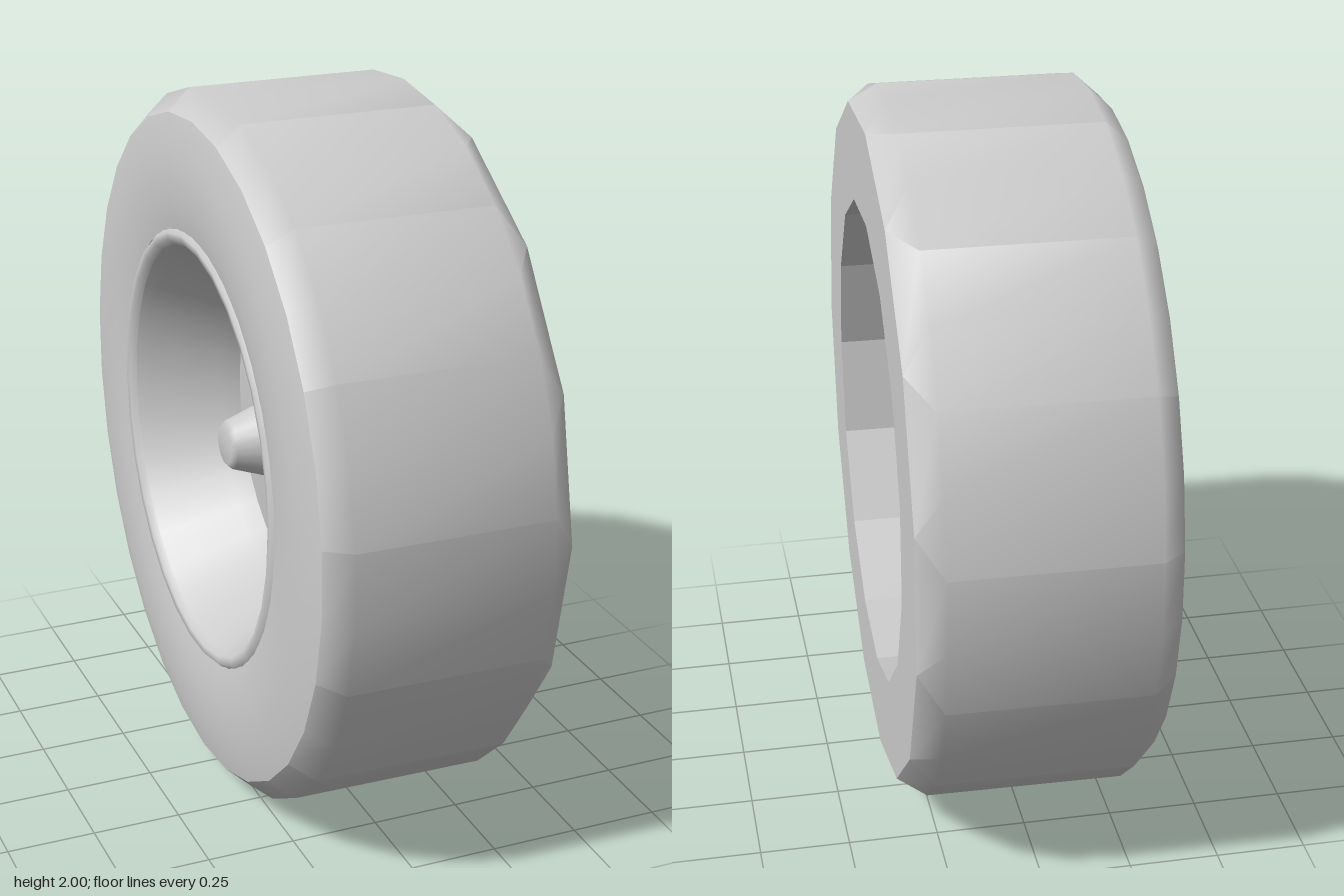
import * as THREE from 'three';
import { mergeGeometries } from 'three/addons/utils/BufferGeometryUtils.js';

const grey = new THREE.MeshStandardMaterial({ color: 0xcccccc });
grey.name = 'grey';
grey.side = THREE.DoubleSide;
const rad = THREE.MathUtils.degToRad;

function part(group, name, geometry, x = 0) {
  const mesh = new THREE.Mesh(geometry, grey);
  mesh.name = name;
  mesh.position.x = x;
  group.add(mesh);
  return mesh;
}

// Lathe about the x axis from [radius, x] points
function latheX(points, segments, startDeg = 0) {
  const g = new THREE.LatheGeometry(points.map(([r, x]) => new THREE.Vector2(r, x)), segments, rad(startDeg));
  return g.rotateZ(-Math.PI / 2);
}

// One 24 degree tread panel: two facets, closing to the coarser 15-sided shoulder
function treadPanel(k) {
  const rows = [[-0.33, 0.94], [-0.265, 1], [0.28, 1], [0.35, 0.95]];
  const n = rows.length, position = [], index = [];
  for (let j = 0; j < 3; j++) {
    const fine = 6 + 24 * k + 12 * j;
    rows.forEach(([x, r], i) => {
      const a = rad(i === n - 1 ? Math.round(fine / 24) * 24 : fine);
      position.push(x, r * Math.sin(a), r * Math.cos(a));
    });
  }
  for (let j = 0; j < 2; j++) {
    for (let i = 0; i < n - 1; i++) {
      const a = j * n + i, b = a + n;
      index.push(a, a + 1, b + 1, a, b + 1, b);
    }
  }
  const g = new THREE.BufferGeometry();
  g.setAttribute('position', new THREE.Float32BufferAttribute(position, 3));
  g.setIndex(index);
  g.computeVertexNormals();
  return g;
}

// Brake caliper: an arc block in the zy plane, extruded along x
function caliperGeometry() {
  const shape = new THREE.Shape();
  const point = (deg, r) => [-r * Math.cos(rad(deg)), r * Math.sin(rad(deg))];
  const steps = 6, from = -75, to = -146;
  const angle = (i) => from + (to - from) * i / steps;
  shape.moveTo(...point(from, 0.38));
  for (let i = 1; i <= steps; i++) shape.lineTo(...point(angle(i), 0.375));
  shape.lineTo(...point(to, 0.54));
  for (let i = steps - 1; i > 0; i--) shape.lineTo(...point(angle(i), 0.575));
  shape.lineTo(...point(from, 0.565));
  return new THREE.ExtrudeGeometry(shape, { depth: 0.075, bevelEnabled: false }).rotateY(Math.PI / 2);
}

export function createModel() {
  const model = new THREE.Group();
  model.name = 'wheel';
  const wheel = new THREE.Group();
  wheel.name = 'wheelAssembly';
  wheel.position.y = 1;
  wheel.rotation.y = -0.017;
  model.add(wheel);

  // Tyre
  part(wheel, 'tread', mergeGeometries(Array.from({ length: 15 }, (_, k) => treadPanel(k))));
  part(wheel, 'outerSidewall', latheX(
    [[0.62, -0.335], [0.7, -0.35], [0.83, -0.352], [0.94, -0.33]], 30, -6));
  part(wheel, 'innerSidewall', new THREE.RingGeometry(0.68, 0.95, 15, 1, Math.PI).rotateY(Math.PI / 2), 0.35);
  const wall = latheX([[0.68, 0.35], [0.68, -0.24]], 15).toNonIndexed();
  wall.computeVertexNormals();
  part(wheel, 'innerWall', wall);

  // Rim
  part(wheel, 'rimFlange', latheX([[0.68, -0.24], [0.64, -0.2], [0.625, -0.24], [0.6, -0.3]].reverse(), 30));
  part(wheel, 'rimLip', latheX(
    [[0.575, -0.325], [0.59, -0.343], [0.61, -0.345], [0.625, -0.33]], 30));
  part(wheel, 'rimBarrel', latheX(
    [[0.44, -0.045], [0.46, -0.1], [0.52, -0.22], [0.555, -0.29], [0.575, -0.325]], 30));
  part(wheel, 'wheelDisc', latheX([[0, -0.07], [0.17, -0.07], [0.3, -0.055], [0.45, -0.045]], 30));
  part(wheel, 'hubCone', latheX(
    [[0, -0.25], [0.055, -0.25], [0.07, -0.235], [0.12, -0.09], [0.14, -0.06]], 20));
  part(wheel, 'valve', new THREE.CapsuleGeometry(0.018, 0.03, 4, 10).rotateZ(Math.PI / 2))
    .position.set(-0.12, 0.02, 0.455);

  // Brake: square back plate with a thin round rim, a raised centre and a caliper
  part(wheel, 'backPlate', new THREE.BoxGeometry(0.02, 1.04, 1.04), 0.075);
  part(wheel, 'plateRim', latheX([[0.52, 0.085], [0.52, 0.16]], 20));
  part(wheel, 'plateCentre', new THREE.CylinderGeometry(0.305, 0.305, 0.02, 12).rotateZ(-Math.PI / 2), 0.083);
  part(wheel, 'caliper', caliperGeometry(), 0.085);
  return model;
}
